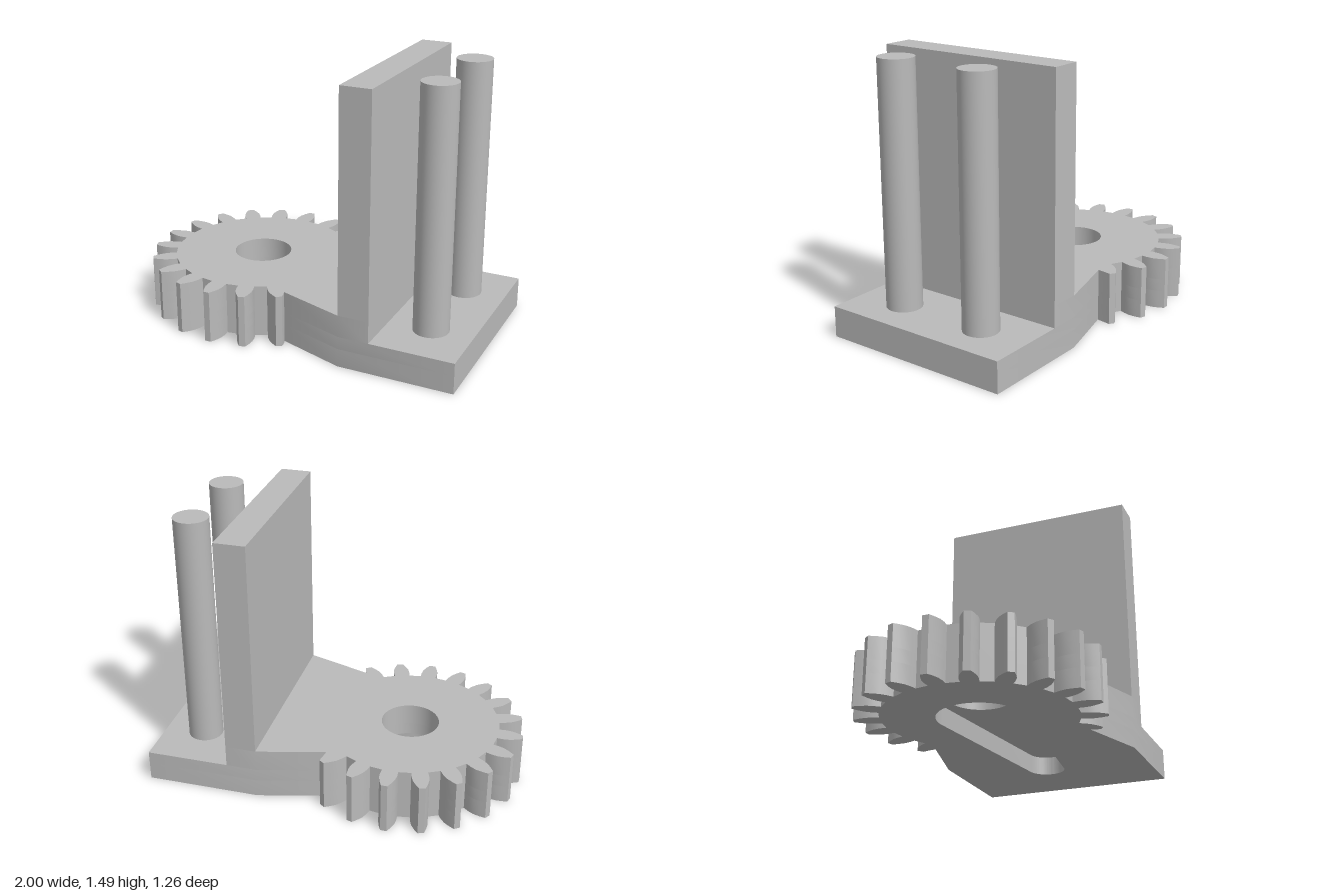
import * as THREE from 'three';
import { toCreasedNormals } from 'three/addons/utils/BufferGeometryUtils.js';

const GEAR_X = -0.37, TEETH = 20;
const BACK = -0.515, FRONT = 0.57;      // z limits of the wall and foot
const WALL_X0 = 0.37, WALL_X1 = 0.54;
const RECESS = 0.1, FOOT = 0.17, DECK = 0.29, TOP = 1.49;

// half widths of one tooth at rising radii
const TOOTH = [[0.495, 0.044], [0.53, 0.046], [0.565, 0.043], [0.6, 0.031], [0.63, 0.017]];

// Outline of the toothed sector joined to the flared body (shape y = -z)
function outline(endX) {
  const pts = [];
  const add = (a, r, w) => pts.push(new THREE.Vector2(
    GEAR_X + r * Math.cos(a) - w * Math.sin(a), r * Math.sin(a) + w * Math.cos(a)));
  const first = 3, last = TEETH - 3;
  for (let i = first; i <= last; i++) {
    const a = (i / TEETH) * Math.PI * 2;
    // the outer flanks of the end teeth run into the body
    const rise = i === first ? TOOTH.slice(3) : TOOTH;
    const fall = i === last ? TOOTH.slice(3) : TOOTH;
    rise.forEach(([r, w]) => add(a, r, -w));
    [...fall].reverse().forEach(([r, w]) => add(a, r, w));
  }
  pts.push(new THREE.Vector2(0, -0.447), new THREE.Vector2(WALL_X0, -FRONT),
    new THREE.Vector2(endX, -FRONT), new THREE.Vector2(endX, -BACK),
    new THREE.Vector2(WALL_X0, -BACK), new THREE.Vector2(0, 0.42));
  return new THREE.Shape(pts);
}

// Round shaft hole
function shaftHole() {
  return new THREE.Path().absarc(GEAR_X, 0, 0.16, 0, Math.PI * 2, true);
}

// Tapered slot: large round end at the shaft, small one under the foot
function taperedSlot() {
  const R = 0.22, r = 0.1, len = 0.94;
  const t = Math.acos((R - r) / len);
  const path = new THREE.Path();
  path.absarc(GEAR_X, 0, R, t, Math.PI * 2 - t, false);
  path.absarc(GEAR_X + len, 0, r, -t, t, false);
  path.closePath();
  return path;
}

export function createModel() {
  const group = new THREE.Group();
  const grey = new THREE.MeshStandardMaterial({ color: 0xbababa });
  grey.name = 'plain grey';

  const addMesh = (name, geometry, x = 0, y = 0, z = 0) => {
    const mesh = new THREE.Mesh(geometry, grey);
    mesh.name = name;
    mesh.position.set(x, y, z);
    group.add(mesh);
  };
  const addLayer = (name, endX, hole, y0, y1) => {
    const shape = outline(endX);
    shape.holes.push(hole);
    const geo = new THREE.ExtrudeGeometry(shape, { depth: y1 - y0, bevelEnabled: false, curveSegments: 48 });
    geo.rotateX(-Math.PI / 2);
    addMesh(name, toCreasedNormals(geo, 0.4), 0, y0, 0);
  };

  // Gear arm in three layers: slotted underside, foot level, raised deck
  addLayer('slottedUnderside', 1, taperedSlot(), 0, RECESS);
  addLayer('footPlate', 1, shaftHole(), RECESS, FOOT);
  addLayer('gearDeck', WALL_X1, shaftHole(), FOOT, DECK);

  // Upright wall
  addMesh('wall', new THREE.BoxGeometry(WALL_X1 - WALL_X0, TOP - DECK, FRONT - BACK),
    (WALL_X0 + WALL_X1) / 2, (TOP + DECK) / 2, (FRONT + BACK) / 2);

  // Two round posts on the foot
  for (const [name, z] of [['frontPost', 0.285], ['backPost', -0.23]]) {
    addMesh(name, new THREE.CylinderGeometry(0.096, 0.096, TOP - FOOT, 48), 0.77, (TOP + FOOT) / 2, z);
  }
  return group;
}
